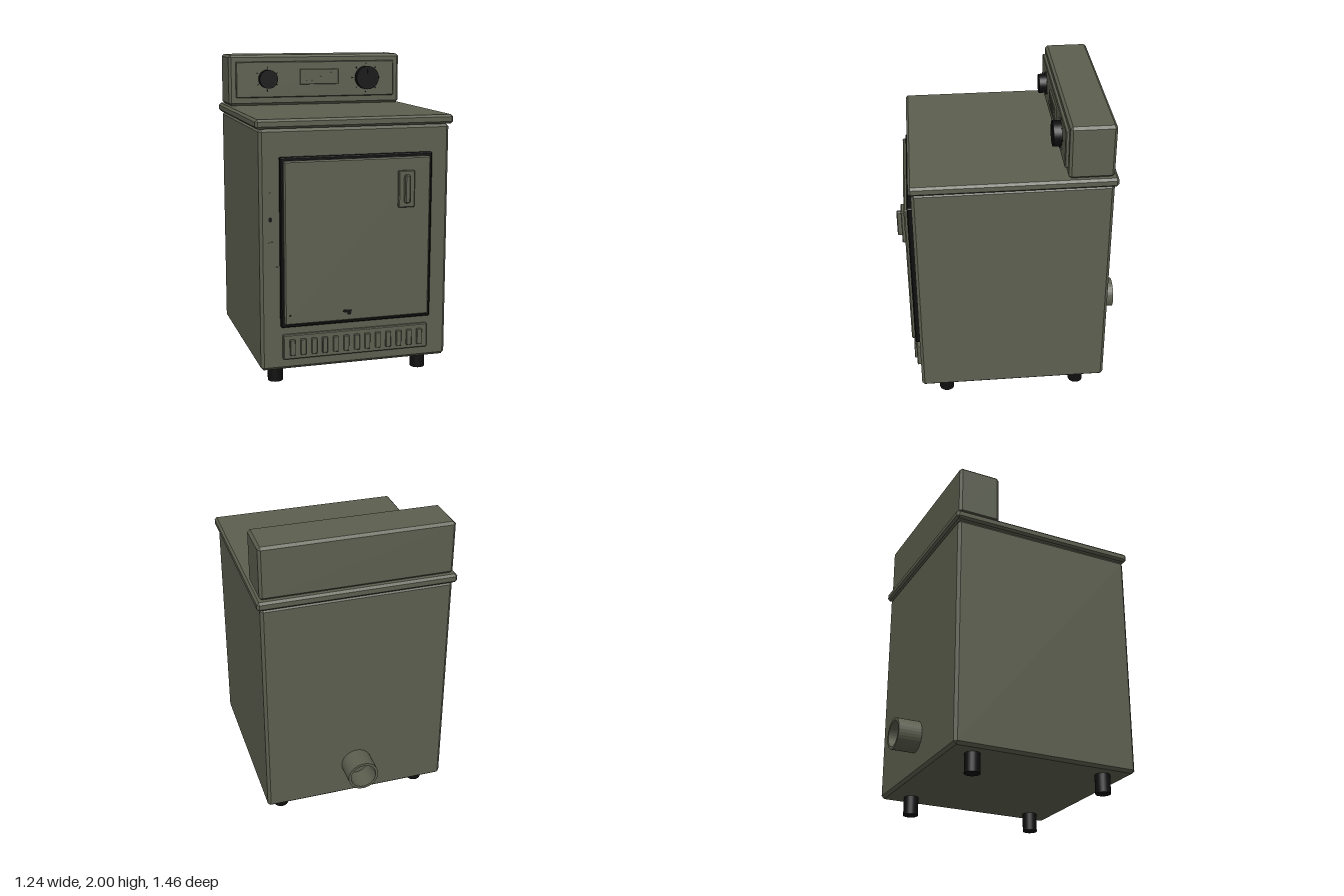
import * as THREE from 'three';
import { ConvexGeometry } from 'three/addons/geometries/ConvexGeometry.js';

export function createModel() {
  const root = new THREE.Group();
  root.name = 'oven';
  const olive = new THREE.MeshStandardMaterial({ color: 0x5c5f4f });
  olive.name = 'olive enamel';
  const black = new THREE.MeshStandardMaterial({ color: 0x0f0f0f });
  black.name = 'black rubber';

  const add = (name, geometry, material, x = 0, y = 0, z = 0, parent = root) => {
    const mesh = new THREE.Mesh(geometry, material);
    mesh.name = name;
    mesh.position.set(x, y, z);
    parent.add(mesh);
    return mesh;
  };

  // Box between two corners with every edge cut by a chamfer c
  const chamferBox = (name, material, [x0, x1], [y0, y1], [z0, z1], c) => {
    const h = [(x1 - x0) / 2, (y1 - y0) / 2, (z1 - z0) / 2];
    const points = [];
    for (const sx of [-1, 1]) for (const sy of [-1, 1]) for (const sz of [-1, 1])
      for (let axis = 0; axis < 3; axis++) {
        const p = h.map((v, i) => (i === axis ? v : v - c));
        points.push(new THREE.Vector3(sx * p[0], sy * p[1], sz * p[2]));
      }
    return add(name, new ConvexGeometry(points), material,
      (x0 + x1) / 2, (y0 + y1) / 2, (z0 + z1) / 2);
  };

  // Cylinder along z
  const disc = (r, depth, sides = 32, r2 = r) =>
    new THREE.CylinderGeometry(r2, r, depth, sides).rotateX(Math.PI / 2);

  // Cabinet, worktop and rear console
  chamferBox('body', olive, [-0.6, 0.6], [0.12, 1.605], [-0.58, 0.63], 0.018);
  chamferBox('worktop', olive, [-0.622, 0.622], [1.605, 1.662], [-0.6, 0.645], 0.014);
  chamferBox('console', olive, [-0.6, 0.6], [1.662, 2], [-0.575, -0.3], 0.016);
  chamferBox('consolePlate', olive, [-0.555, 0.555], [1.715, 1.955], [-0.31, -0.28], 0.005);
  chamferBox('display', olive, [-0.117, 0.153], [1.8, 1.902], [-0.285, -0.268], 0.003);
  for (let i = 0; i < 3; i++)
    add('displayLine', new THREE.BoxGeometry(0.18, 0.004, 0.002), olive, 0.018, 1.825 + i * 0.026, -0.267);

  // Knobs with pointer and dial ticks
  for (const [x, r, ticks, dial] of [[-0.342, 0.062, 6, 0.077], [0.353, 0.079, 8, 0.096]]) {
    const knob = new THREE.Group();
    knob.name = 'knob';
    knob.position.set(x, 1.84, -0.28);
    root.add(knob);
    add('knobCap', disc(r, 0.05, 32, r), black, 0, 0, 0.026, knob);
    add('knobPointer', new THREE.BoxGeometry(0.006, 0.03, 0.006), black, 0, r * 0.55, 0.053, knob);
    for (let i = 0; i < ticks; i++) {
      const a = Math.PI / 2 + (i / ticks) * Math.PI * 2;
      const tick = add('dialTick', new THREE.BoxGeometry(0.011, 0.005, 0.006), black,
        Math.cos(a) * dial, Math.sin(a) * dial, 0.002, knob);
      tick.rotation.z = a;
    }
  }

  // Door on its dark seal
  chamferBox('doorSeal', black, [-0.48, 0.48], [0.395, 1.437], [0.62, 0.66], 0.006);
  chamferBox('door', olive, [-0.462, 0.462], [0.415, 1.417], [0.65, 0.681], 0.008);
  chamferBox('handlePlate', olive, [0.25, 0.353], [1.108, 1.335], [0.675, 0.702], 0.005);
  chamferBox('handleGrip', olive, [0.282, 0.315], [1.138, 1.31], [0.695, 0.73], 0.006);

  // Vent panel with raised slats
  chamferBox('ventPanel', olive, [-0.467, 0.467], [0.19, 0.345], [0.62, 0.655], 0.005);
  for (let i = 0; i < 13; i++) {
    const x = -0.411 + i * 0.0685;
    chamferBox('ventSlat', olive, [x - 0.017, x + 0.017], [0.217, 0.316], [0.65, 0.67], 0.003);
  }

  // Small marks on the front frame and door
  const mark = (name, material, x, y, z, sx, sy) =>
    add(name, disc(1, 0.004, 12).scale(sx, sy, 1), material, x, y, z);
  mark('frameMark', olive, -0.525, 1.22, 0.631, 0.017, 0.009);
  mark('frameSpot', black, -0.536, 1.063, 0.631, 0.011, 0.015);
  mark('frameMark', olive, -0.53, 0.92, 0.631, 0.018, 0.007);
  mark('frameScratch', black, -0.497, 0.772, 0.631, 0.01, 0.003);
  mark('doorSpot', black, -0.43, 0.475, 0.681, 0.008, 0.005);
  mark('doorChip', black, -0.07, 0.477, 0.681, 0.03, 0.01);
  mark('doorChip', black, -0.056, 0.464, 0.681, 0.012, 0.012);

  // Feet
  for (const x of [-0.477, 0.477]) for (const z of [-0.413, 0.465])
    add('foot', new THREE.CylinderGeometry(0.048, 0.048, 0.14, 24), black, x, 0.07, z);

  // Hollow exhaust pipe at the back
  const ring = new THREE.Shape().absarc(0, 0, 0.1, 0, Math.PI * 2, false);
  ring.holes.push(new THREE.Path().absarc(0, 0, 0.083, 0, Math.PI * 2, true));
  add('exhaustPipe', new THREE.ExtrudeGeometry(ring, { depth: 0.155, bevelEnabled: false, curveSegments: 16 }),
    olive, 0, 0.355, -0.73);

  return root;
}
